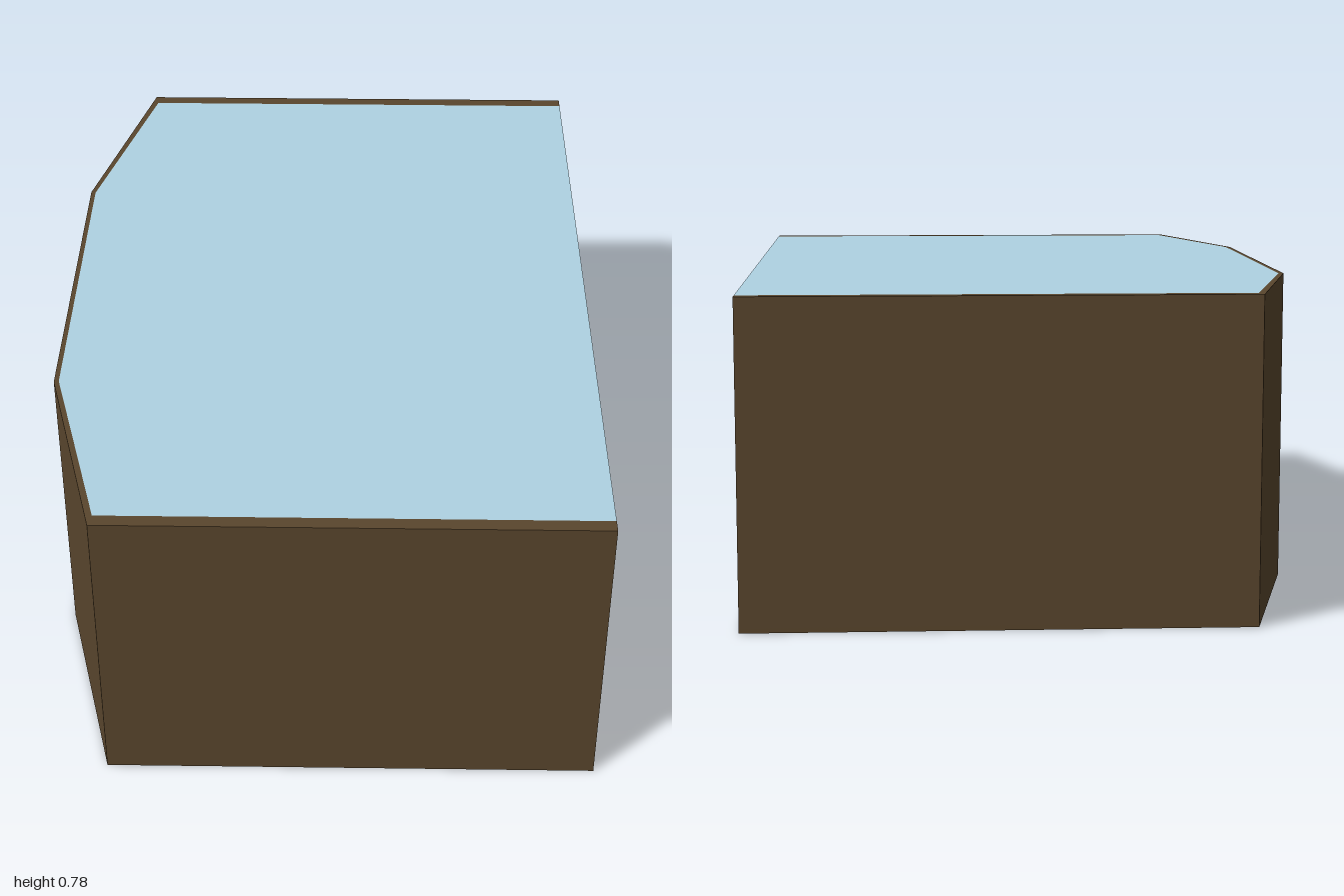
import * as THREE from 'three';

const paint = (color) => new THREE.MeshStandardMaterial({ color });
const brown = paint(0x5a462d), glass = paint(0xafd3e3), desk = paint(0xd6d0d0);
const screenGrey = paint(0x5c5c5c), dark = paint(0x2c2c30), blue = paint(0x1f86d6);
const red = paint(0xb03a3a), white = paint(0xeeeeee);

function add(parent, name, geometry, material, x = 0, y = 0, z = 0) {
  const mesh = new THREE.Mesh(geometry, material);
  mesh.name = name;
  mesh.position.set(x, y, z);
  parent.add(mesh);
  return mesh;
}

const box = (parent, name, material, size, pos) =>
  add(parent, name, new THREE.BoxGeometry(...size), material, ...pos);

// Flat plan outline (x, z) extruded upwards; the plan is symmetric in z
function slab(points, height) {
  const shape = new THREE.Shape(points.map(([x, z]) => new THREE.Vector2(x, z)));
  return new THREE.ExtrudeGeometry(shape, { depth: height, bevelEnabled: false }).rotateX(-Math.PI / 2);
}

const outer = [[0.675, -1], [0.675, 1], [-0.535, 1], [-0.675, 0.45], [-0.675, -0.45], [-0.535, -1]];
const inner = [[0.675, -0.965], [0.675, 0.965], [-0.527, 0.965], [-0.663, 0.447], [-0.663, -0.447], [-0.527, -0.965]];

// Upright bar or pane running along a plan segment
function alongWall(parent, name, material, a, b, y0, y1, depth) {
  const dx = b[0] - a[0], dz = b[1] - a[1];
  const m = box(parent, name, material, [depth, y1 - y0, Math.hypot(dx, dz)],
    [(a[0] + b[0]) / 2, (y0 + y1) / 2, (a[1] + b[1]) / 2]);
  m.rotation.y = Math.atan2(dx, dz);
  return m;
}

function buildRoom() {
  const room = new THREE.Group();
  room.name = 'room';
  add(room, 'floor', slab(outer, 0.012), brown);
  add(room, 'ceiling', slab(inner, 0.026), glass, 0, 0.754, 0);
  // Walls: a U-shaped strip, open towards +x
  const strip = [...outer.slice(1), outer[0], inner[0], ...inner.slice(1).reverse()];
  add(room, 'walls', slab(strip, 0.77), brown, 0, 0.01, 0);

  for (let i = 1; i < 5; i++) {
    const a = inner[i], b = inner[i + 1];
    alongWall(room, 'wallPane', glass, a, b, 0.012, 0.754, 0.006);
    if (i > 1) {
      alongWall(room, 'bottomRail', brown, a, b, 0.012, 0.026, 0.018);
      alongWall(room, 'topRail', brown, a, b, 0.744, 0.755, 0.018);
    }
  }
  alongWall(room, 'wallPane', glass, inner[0], [-0.527, -0.965], 0.012, 0.754, 0.006);

  // Window posts
  for (const [x, z] of [[-0.525, 0.96], [-0.594, 0.705], [-0.66, 0.45], [-0.66, 0],
    [-0.66, -0.45], [-0.594, -0.705], [-0.525, -0.96]])
    box(room, 'windowPost', brown, [0.02, 0.742, 0.018], [x, 0.383, z]);
  return room;
}

function buildWallScreen() {
  const g = new THREE.Group();
  g.name = 'wallScreen';
  box(g, 'screenFrame', dark, [0.016, 0.57, 0.865], [-0.642, 0.447, 0]);
  box(g, 'screenPanel', screenGrey, [0.016, 0.555, 0.85], [-0.639, 0.447, 0]);
  return g;
}

// Desk monitor facing +x
function buildMonitor(turn) {
  const g = new THREE.Group();
  g.name = 'monitor';
  box(g, 'monitorFoot', dark, [0.02, 0.004, 0.026], [0, 0.002, 0]);
  box(g, 'monitorStand', dark, [0.006, 0.014, 0.01], [0, 0.009, 0]);
  box(g, 'monitorCase', dark, [0.012, 0.034, 0.056], [0, 0.029, 0]);
  box(g, 'monitorScreen', blue, [0.002, 0.028, 0.05], [0.0065, 0.029, 0]);
  g.rotation.y = turn;
  return g;
}

// Switch panel lying on the sloped back
function buildSwitches(kind) {
  const g = new THREE.Group();
  g.name = 'switchPanel';
  for (let r = 0; r < 3; r++) {
    if (kind === 0) box(g, 'slot', dark, [0.004, 0.007, 0.046], [0, (r - 1) * 0.011, 0]);
    else for (let c = 0; c < 3; c++)
      box(g, 'button', (r + c) % 2 ? red : dark, [0.004, 0.005, 0.011], [0, (r - 1) * 0.011, (c - 1) * 0.016]);
  }
  return g;
}

function buildConsole(frontX) {
  const g = new THREE.Group();
  g.name = 'consoleRow';
  // Side profile: low desk with a sloped raised back
  const profile = new THREE.Shape([[0, 0], [0, 0.07], [-0.052, 0.07], [-0.068, 0.12], [-0.082, 0.12], [-0.082, 0]]
    .map((p) => new THREE.Vector2(...p)));
  add(g, 'consoleDesk', new THREE.ExtrudeGeometry(profile, { depth: 1.06, bevelEnabled: false }), desk, 0, 0, -0.53);
  for (const half of [0.53, 0]) {
    for (const [dz, turn] of [[0.08, 0], [0.2, 0.35], [0.36, -0.6]]) {
      const m = buildMonitor(turn);
      m.position.set(-0.036, 0.07, half - dz);
      g.add(m);
      box(g, 'keyboard', white, [0.018, 0.004, 0.045], [-0.013, 0.072, half - dz]);
    }
    for (const [dz, kind] of [[0.262, 0], [0.318, 1], [0.435, 1], [0.495, 0]]) {
      const s = buildSwitches(kind);
      s.position.set(-0.06, 0.096, half - dz);
      s.rotation.z = 0.31;
      g.add(s);
    }
  }
  g.position.set(frontX, 0.012, 0);
  return g;
}

export function createModel() {
  const model = new THREE.Group();
  model.name = 'controlRoom';
  model.add(buildRoom(), buildWallScreen());
  for (const x of [0.53, 0.21, -0.11]) model.add(buildConsole(x));
  return model;
}
